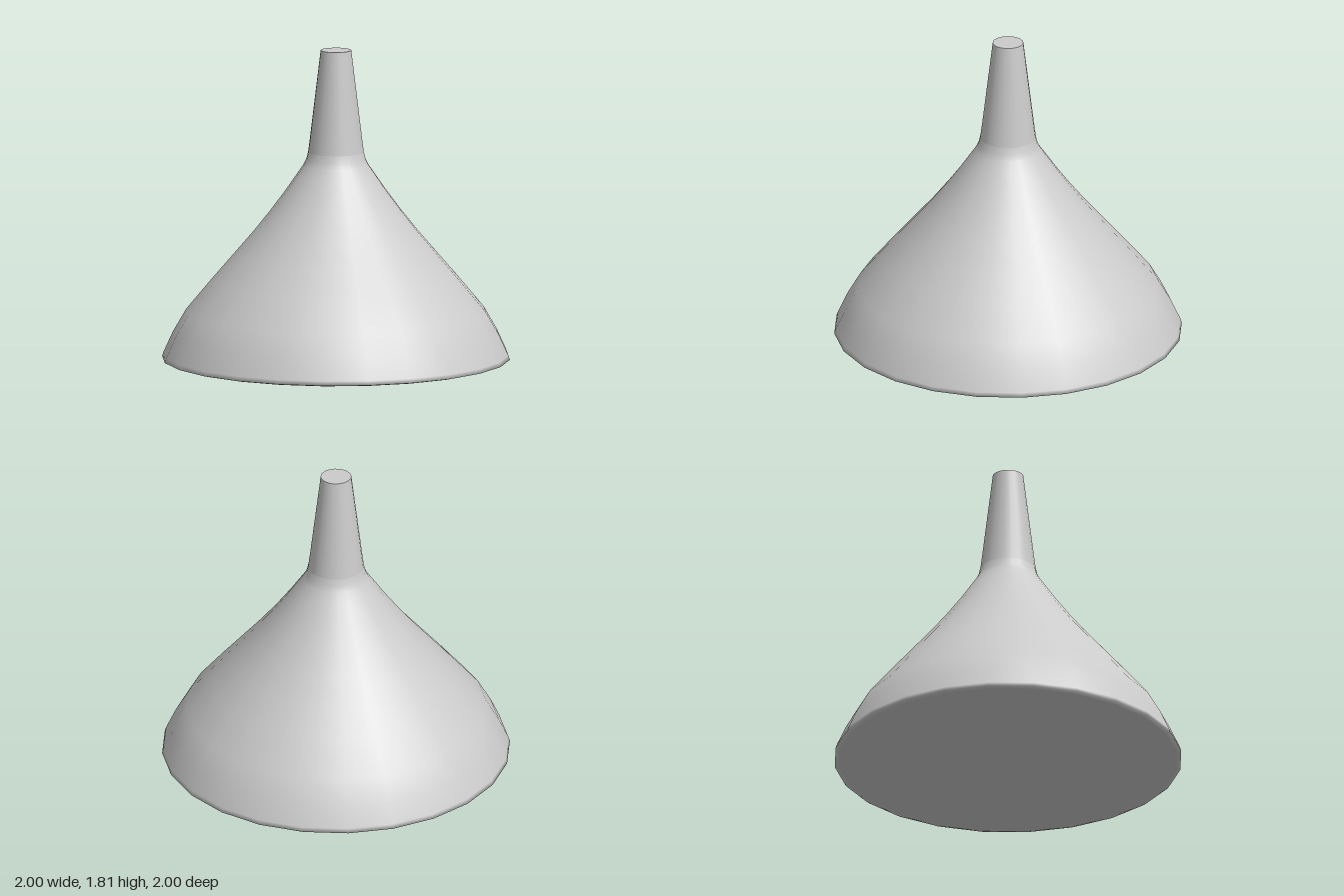
import * as THREE from 'three';

const SIDES = 24;

export function createModel() {
  const group = new THREE.Group();
  const material = new THREE.MeshStandardMaterial({ color: 0xcccccc });

  // Turns a profile of [radius, height] pairs, listed so that faces point outward
  const turn = (name, profile) => {
    const points = profile.map(([r, y]) => new THREE.Vector2(r, y));
    const mesh = new THREE.Mesh(new THREE.LatheGeometry(points, SIDES), material);
    mesh.name = name;
    group.add(mesh);
  };

  // Slightly domed underside, rounded into the rim and the flared bell
  turn('bell', [
    [0, 0], [0.57, 0.003], [0.8, 0.008], [0.97, 0.018],
    [0.998, 0.025], [0.99, 0.05],
    [0.935, 0.17], [0.86, 0.3], [0.71, 0.48], [0.59, 0.62], [0.47, 0.76],
    [0.375, 0.88], [0.29, 0.995], [0.225, 1.09], [0.187, 1.145],
    [0.17, 1.18], [0.16, 1.22],
  ]);

  // Tapered neck
  turn('neck', [[0.16, 1.22], [0.152, 1.28], [0.088, 1.81]]);

  // Flat top of the neck
  turn('neckCap', [[0.088, 1.81], [0, 1.81]]);

  return group;
}
